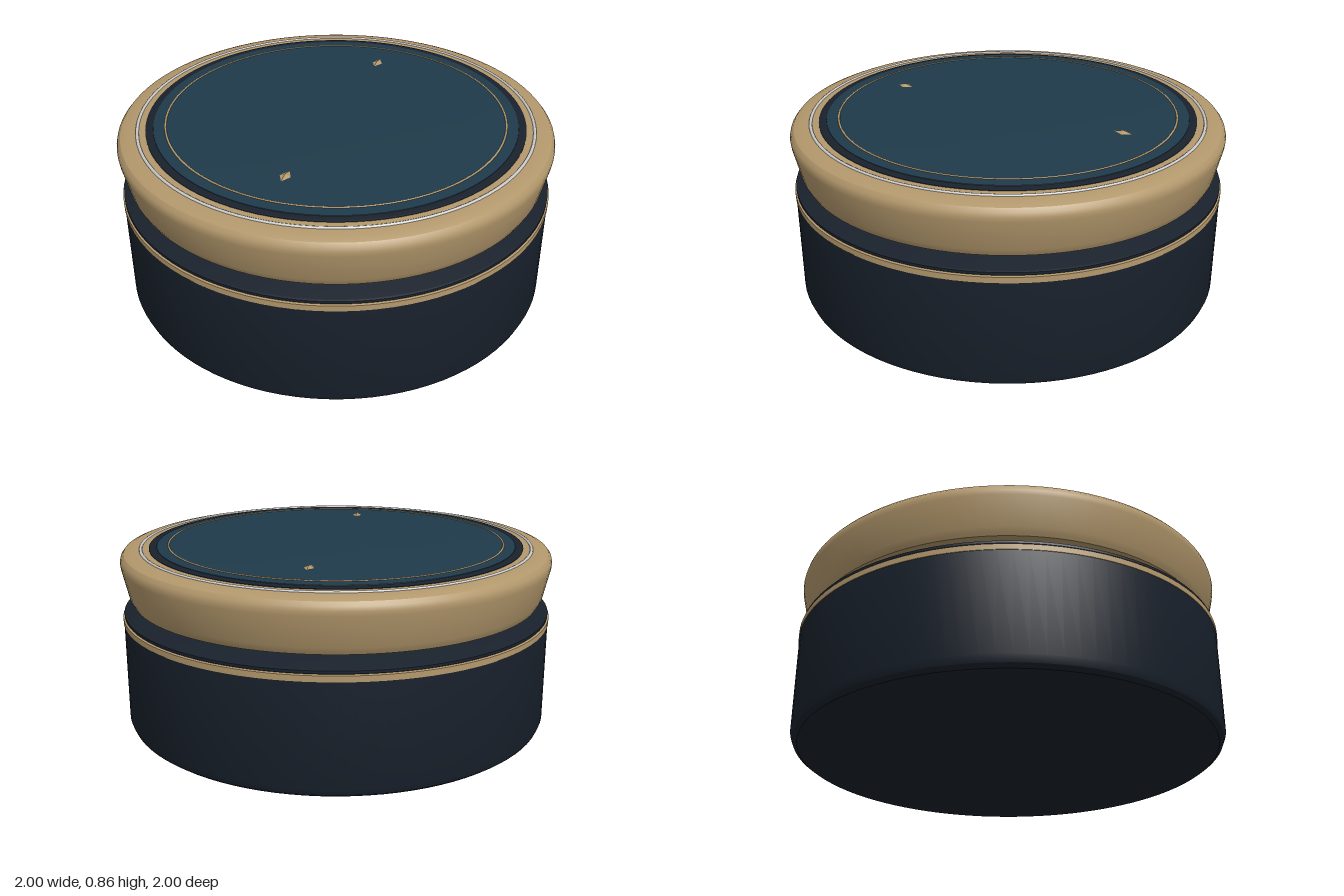
import * as THREE from 'three';
import { toCreasedNormals } from 'three/addons/utils/BufferGeometryUtils.js';

const SEGMENTS = 96;
const material = (color) => new THREE.MeshStandardMaterial({ color });

export function createModel() {
  const group = new THREE.Group();
  const gold = material(0xb3986c);
  const navy = material(0x19212c);
  const teal = material(0x1f3a4a);
  const silver = material(0xbcbcbc);

  const add = (name, geometry, mat) => {
    const mesh = new THREE.Mesh(geometry, mat);
    mesh.name = name;
    group.add(mesh);
    return mesh;
  };
  // Turned part: [radius, height] points listed from the bottom up
  const turn = (name, points, mat, crease = 0.5) => {
    const profile = points.map(([r, y]) => new THREE.Vector2(r, y));
    const geometry = new THREE.LatheGeometry(profile, SEGMENTS);
    return add(name, toCreasedNormals(geometry, crease), mat);
  };
  // Thin inlaid ring
  const ring = (name, radius, y, thickness, mat) => {
    const geometry = new THREE.TorusGeometry(radius, thickness, 8, SEGMENTS);
    geometry.rotateX(Math.PI / 2);
    return add(name, geometry.translate(0, y, 0), mat);
  };

  // Base container with a chamfered foot
  turn('base', [[0, 0], [0.965, 0], [0.985, 0.015], [0.997, 0.045],
    [0.997, 0.505], [0.98, 0.51], [0, 0.51]], navy);
  turn('baseBand', [[0.95, 0.502], [1, 0.502], [1, 0.528], [0.99, 0.532], [0.95, 0.532]], gold);
  turn('baseRim', [[0.94, 0.53], [0.99, 0.53], [0.994, 0.536], [0.994, 0.546],
    [0.985, 0.55], [0, 0.55]], navy);

  // Floating lid: flared side, rounded shoulder
  turn('lid', [[0, 0.597], [0.95, 0.597], [0.957, 0.61], [0.967, 0.63], [0.998, 0.765],
    [1, 0.785], [0.995, 0.804], [0.982, 0.82], [0.96, 0.829], [0.915, 0.834],
    [0.86, 0.836], [0, 0.836]], gold);
  ring('lidSilverRing', 0.905, 0.833, 0.008, silver);

  // Dark surround and domed panel on top
  turn('panelSurround', [[0.868, 0.83], [0.868, 0.838], [0.86, 0.841], [0.82, 0.841]], navy);
  turn('lidPanel', [[0.835, 0.834], [0.832, 0.843], [0.78, 0.846], [0.6, 0.851],
    [0.4, 0.855], [0.2, 0.857], [0, 0.858]], teal);
  ring('panelInlayRing', 0.778, 0.845, 0.005, gold);

  // Diamond studs at the front and back of the panel
  for (const side of [1, -1]) {
    const stud = add(side > 0 ? 'frontStud' : 'backStud', new THREE.OctahedronGeometry(1), gold);
    stud.scale.set(0.025, 0.011, 0.045);
    stud.position.set(0, 0.852, side * 0.59);
  }
  return group;
}
